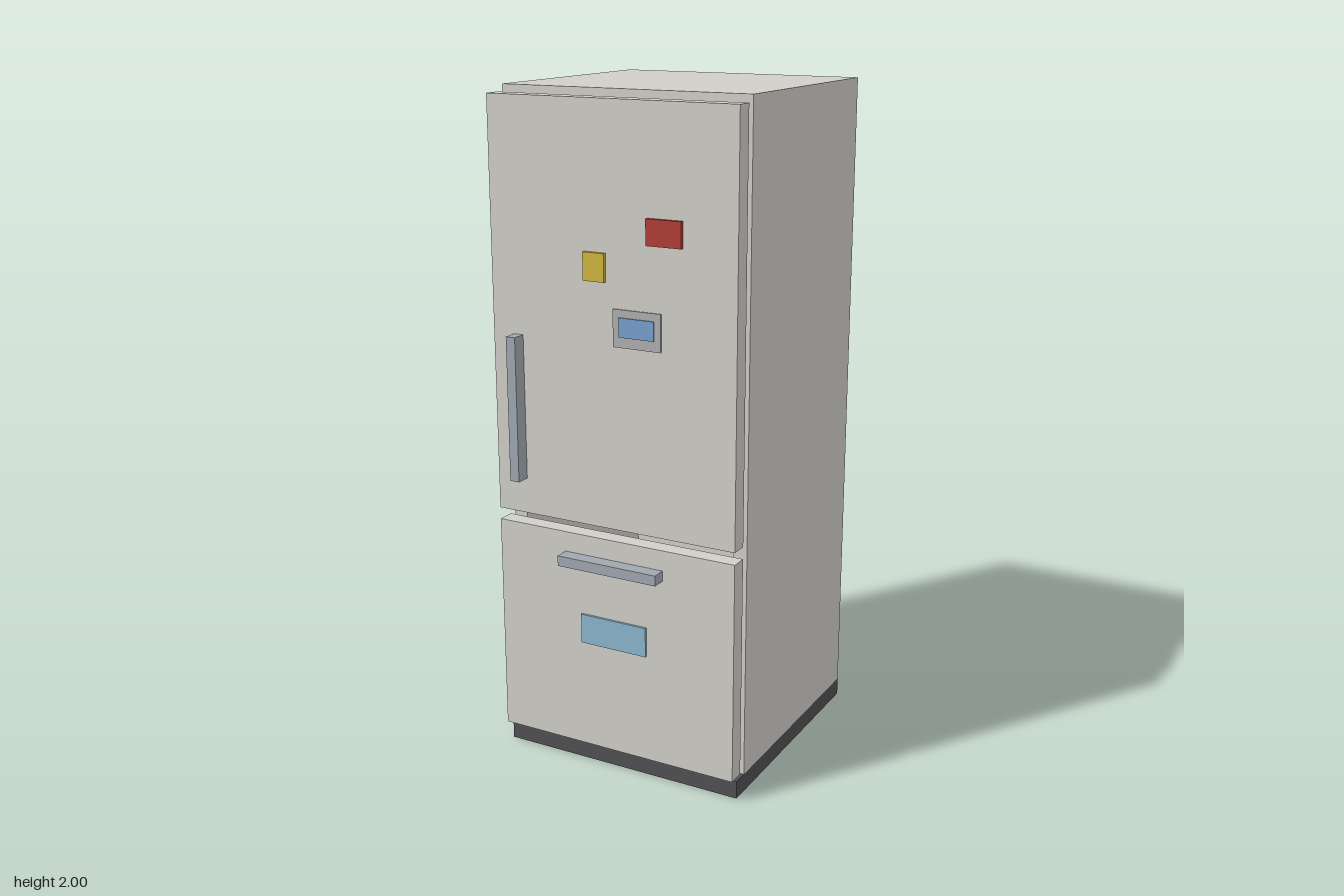
import * as THREE from 'three';

const paint = (color) => new THREE.MeshStandardMaterial({ color });

export function createModel() {
  const fridge = new THREE.Group();
  fridge.name = 'refrigerator';

  const shell = paint(0xd0cec8);
  const dark = paint(0x505054);
  const metal = paint(0xa0a8b0);
  const glass = paint(0xb2c5cd);

  // Box given by its extents along each axis
  const slab = (parent, name, material, [x0, x1], [y0, y1], [z0, z1]) => {
    const mesh = new THREE.Mesh(new THREE.BoxGeometry(x1 - x0, y1 - y0, z1 - z0), material);
    mesh.position.set((x0 + x1) / 2, (y0 + y1) / 2, (z0 + z1) / 2);
    mesh.name = name;
    parent.add(mesh);
  };
  const group = (name) => {
    const g = new THREE.Group();
    g.name = name;
    fridge.add(g);
    return g;
  };

  const W = 0.388, wall = 0.043, inner = W - wall;
  const back = -0.415, front = 0.295;
  const doorBack = 0.32, doorFront = 0.372;

  // Hollow cabinet of panels on a dark plinth
  const cabinet = group('cabinet');
  slab(cabinet, 'plinth', dark, [-W, W], [0, 0.055], [back, 0.342]);
  slab(cabinet, 'rightSide', shell, [-W, -inner], [0.055, 1.965], [back, front]);
  slab(cabinet, 'leftSide', shell, [inner, W], [0.055, 1.965], [back, front]);
  slab(cabinet, 'topPanel', shell, [-W, W], [1.965, 2], [back, front]);
  slab(cabinet, 'backPanel', shell, [-inner, inner], [0.055, 1.965], [back, back + wall]);
  slab(cabinet, 'floorPanel', shell, [-inner, inner], [0.055, 0.09], [back + wall, front]);
  slab(cabinet, 'divider', shell, [-inner, inner], [0.735, 0.775], [back + wall, front - 0.01]);

  // Upper door with its handle and inner bin
  const upper = group('upperDoor');
  slab(upper, 'upperDoorPanel', shell, [-W, W], [0.773, 1.98], [doorBack, doorFront]);
  slab(upper, 'upperHandle', metal, [-0.319, -0.289], [0.88, 1.31], [doorFront, 0.415]);
  slab(upper, 'doorBin', glass, [-0.334, 0.334], [0.99, 1.097], [0.22, doorBack]);

  // Freezer drawer with its handle and label
  const lower = group('freezerDrawer');
  slab(lower, 'drawerPanel', shell, [-W, W], [0.068, 0.737], [doorBack, doorFront]);
  slab(lower, 'drawerHandle', metal, [-0.162, 0.161], [0.645, 0.676], [doorFront, 0.415]);
  slab(lower, 'drawerLabel', paint(0x8ab5cc), [-0.108, 0.108], [0.4, 0.49], [doorFront, 0.379]);

  // Magnets and small display on the upper door
  const extras = group('doorDecorations');
  slab(extras, 'redMagnet', paint(0xb03a32), [0.118, 0.225], [1.6, 1.673], [doorFront, 0.383]);
  slab(extras, 'yellowMagnet', paint(0xd0b43c), [-0.08, -0.013], [1.488, 1.568], [doorFront, 0.383]);
  slab(extras, 'displayFrame', paint(0xaeaeae), [0.01, 0.16], [1.31, 1.417], [doorFront, 0.376]);
  slab(extras, 'displayScreen', paint(0x75a0cc), [0.03, 0.14], [1.34, 1.395], [0.376, 0.38]);

  return fridge;
}
